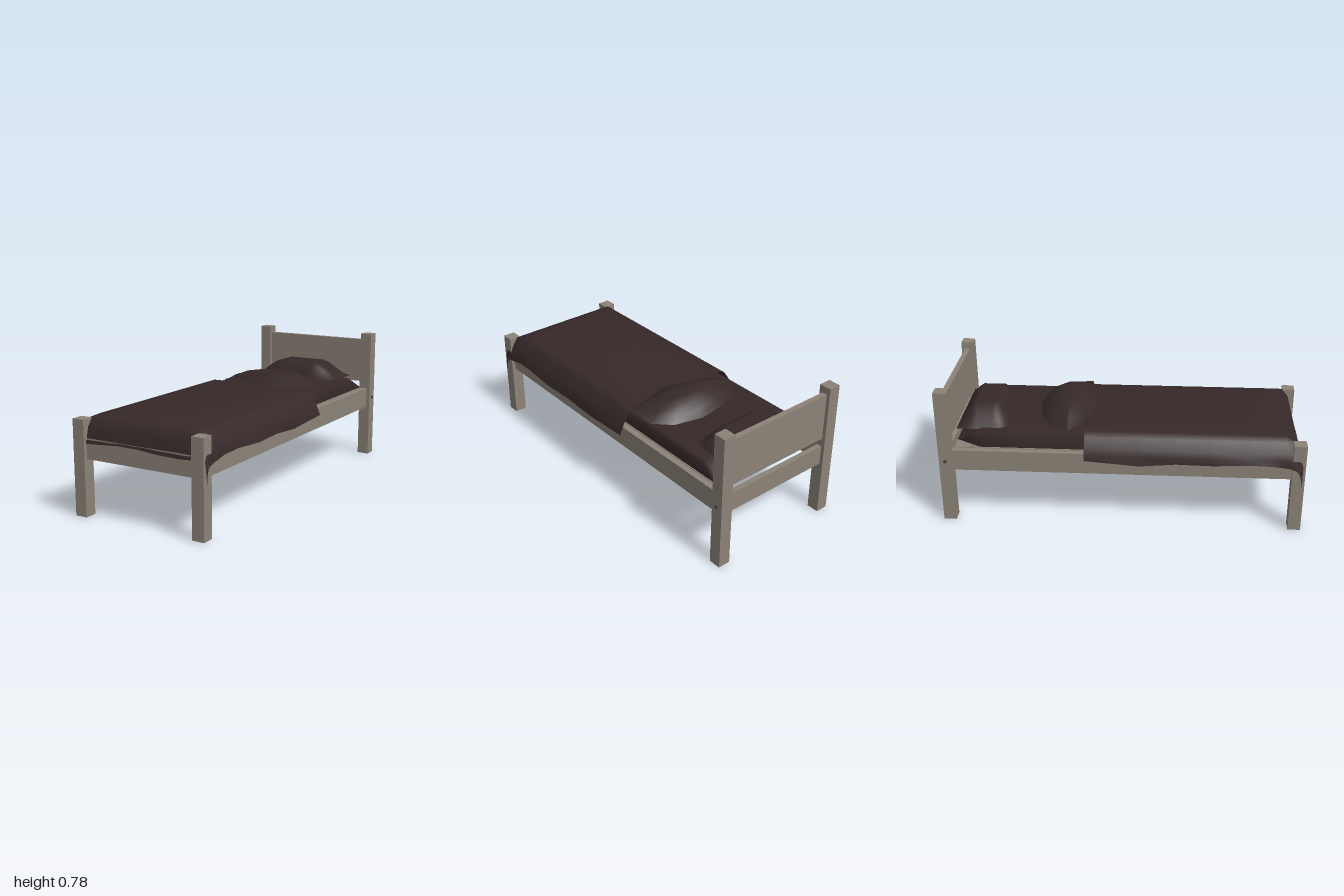
import * as THREE from 'three';

const wood = new THREE.MeshStandardMaterial({ color: 0x8c8377 });
wood.name = 'greyWood';
const cloth = new THREE.MeshStandardMaterial({ color: 0x352828, side: THREE.DoubleSide });
cloth.name = 'darkCloth';
const metal = new THREE.MeshStandardMaterial({ color: 0x4a4642 });
metal.name = 'boltMetal';

function mesh(parent, name, geometry, material) {
  const m = new THREE.Mesh(geometry, material);
  m.name = name;
  parent.add(m);
  return m;
}

// Box given by its minimum and maximum corners
function box(parent, name, x0, x1, y0, y1, z0, z1) {
  const m = mesh(parent, name, new THREE.BoxGeometry(x1 - x0, y1 - y0, z1 - z0), wood);
  m.position.set((x0 + x1) / 2, (y0 + y1) / 2, (z0 + z1) / 2);
}

// Smooth sheet through a grid of points f(i, j), facing up when i runs +x and j runs +z
function sheet(parent, name, ni, nj, f) {
  const pos = [], idx = [];
  for (let j = 0; j < nj; j++) {
    for (let i = 0; i < ni; i++) {
      pos.push(...f(i, j));
      if (i < ni - 1 && j < nj - 1) {
        const a = j * ni + i, b = a + 1, c = a + ni, d = c + 1;
        idx.push(a, c, b, b, c, d);
      }
    }
  }
  const g = new THREE.BufferGeometry();
  g.setAttribute('position', new THREE.Float32BufferAttribute(pos, 3));
  g.setIndex(idx);
  g.computeVertexNormals();
  return mesh(parent, name, g, cloth);
}

function buildFrame(parent) {
  const frame = new THREE.Group();
  frame.name = 'frame';
  parent.add(frame);
  for (const s of [-1, 1]) {
    const x0 = s > 0 ? 0.33 : -0.4;
    box(frame, 'headPost', x0, x0 + 0.07, 0, 0.78, -1, -0.93);
    box(frame, 'footPost', x0, x0 + 0.07, 0, 0.52, 0.93, 1);
    const r0 = s > 0 ? 0.345 : -0.38;
    box(frame, 'sideRail', r0, r0 + 0.035, 0.31, 0.43, -0.93, 0.93);
    for (const z of [-0.965, 0.965]) {
      const bolt = mesh(frame, 'bolt', new THREE.CylinderGeometry(0.01, 0.01, 0.008, 12), metal);
      bolt.rotation.z = Math.PI / 2;
      bolt.position.set(s * 0.402, 0.37, z);
    }
  }
  box(frame, 'headPanel', -0.33, 0.33, 0.47, 0.74, -0.98, -0.95);
  box(frame, 'headRail', -0.33, 0.33, 0.31, 0.42, -0.98, -0.95);
  box(frame, 'footRail', -0.33, 0.33, 0.31, 0.42, 0.95, 0.98);
  // Wide slats with narrow gaps
  for (let k = -5; k < 5; k++) {
    const z0 = Math.max(-0.92, k * 0.205 + 0.004);
    const z1 = Math.min(0.92, (k + 1) * 0.205 - 0.004);
    box(frame, 'slat', -0.345, 0.345, 0.41, 0.434, z0, z1);
  }
}

function buildBedding(parent) {
  const bedding = new THREE.Group();
  bedding.name = 'bedding';
  parent.add(bedding);

  // Mattress: rounded edges, sloping down at the head with one cut corner
  const mx = [-0.34, -0.338, -0.32, -0.2, 0, 0.2, 0.32, 0.338, 0.34];
  const mz = [-0.92, -0.86, -0.78, -0.6, -0.4, -0.2, 0.2, 0.6, 0.88, 0.9];
  sheet(bedding, 'mattress', mx.length, mz.length, (i, j) => {
    const z = mz[j];
    const x = Math.max(mx[i], -0.34 + Math.max(0, -0.78 - z) * 0.6 + i * 0.001);
    const edge = [0, 0.8, 0.97, 1, 1][Math.min(i, 8 - i)];
    const end = j === 9 ? 0 : Math.min(1, (z + 0.92) / 0.14);
    return [x, 0.436 + 0.08 * edge * end, z];
  });

  // Pillow: pinched rim around a flat-topped cushion
  const n = 15;
  for (const side of [1, -1]) {
    sheet(bedding, side > 0 ? 'pillowTop' : 'pillowBottom', n, n, (i, j) => {
      const u = (i / (n - 1)) * 2 - 1, v = (j / (n - 1)) * 2 - 1;
      const rise = Math.min(1, (1 - Math.abs(u)) * 2) * Math.min(1, (1 - Math.abs(v)) * 1.9);
      const h = side > 0 ? 0.1 * Math.pow(rise, 0.8) : -0.01 * rise;
      return [u * 0.268, 0.508 + h, -0.773 + v * 0.147];
    });
  }

  // Blanket: half cross-section (x, y), mirrored, draped over the foot end
  const half = [[0, 0.546], [0.12, 0.546], [0.25, 0.544], [0.31, 0.537], [0.35, 0.518],
    [0.385, 0.465], [0.4, 0.43], [0.409, 0.39]];
  // Rows: z, height limit, side hem height
  const rows = [[-0.2, 0.538, 0.4], [-0.05, 0.542, 0.392], [0.1, 0.543, 0.38], [0.3, 0.545, 0.395],
    [0.5, 0.546, 0.392], [0.7, 0.546, 0.405], [0.82, 0.545, 0.4], [0.89, 0.538, 0.39],
    [0.93, 0.52, 0.385], [0.962, 0.48, 0.37], [0.976, 0.425, 0.33], [0.986, 0.4, 0.28]];
  const last = half.length - 1;
  sheet(bedding, 'blanket', last * 2 + 1, rows.length, (i, j) => {
    const k = Math.abs(i - last), s = Math.sign(i - last);
    const [z, cap, hem] = rows[j];
    const x = s * (half[k][0] + (k === last ? 0.004 * Math.sin(j * 1.7 + s) : 0));
    let y = Math.min(half[k][1], cap);
    if (k === last) y = hem;
    else if (j === rows.length - 1) y += 0.008 * Math.sin(x * 11 + 2.4);
    return [x, y, z];
  });

  // Turned-back blanket fold: a dome over an irregular outline (x, z)
  const rim = [[-0.29, -0.3], [-0.25, -0.23], [-0.12, -0.2], [-0.02, -0.18], [0.06, -0.14],
    [0.22, -0.18], [0.345, -0.21], [0.33, -0.36], [0.24, -0.45], [0.07, -0.49],
    [-0.1, -0.46], [-0.23, -0.4]];
  const rings = [[0, 0.612], [0.3, 0.61], [0.55, 0.595], [0.8, 0.562], [1, 0.522]];
  sheet(bedding, 'blanketFold', rim.length + 1, rings.length, (i, j) => {
    const [x, z] = rim[i % rim.length], [r, y] = rings[j];
    const lift = j === 4 && z > -0.25 ? 0.02 : 0;
    return [0.06 + (x - 0.06) * r, y + lift, -0.31 + (z + 0.31) * r];
  });
}

export function createModel() {
  const model = new THREE.Group();
  model.name = 'bed';
  buildFrame(model);
  buildBedding(model);
  return model;
}
